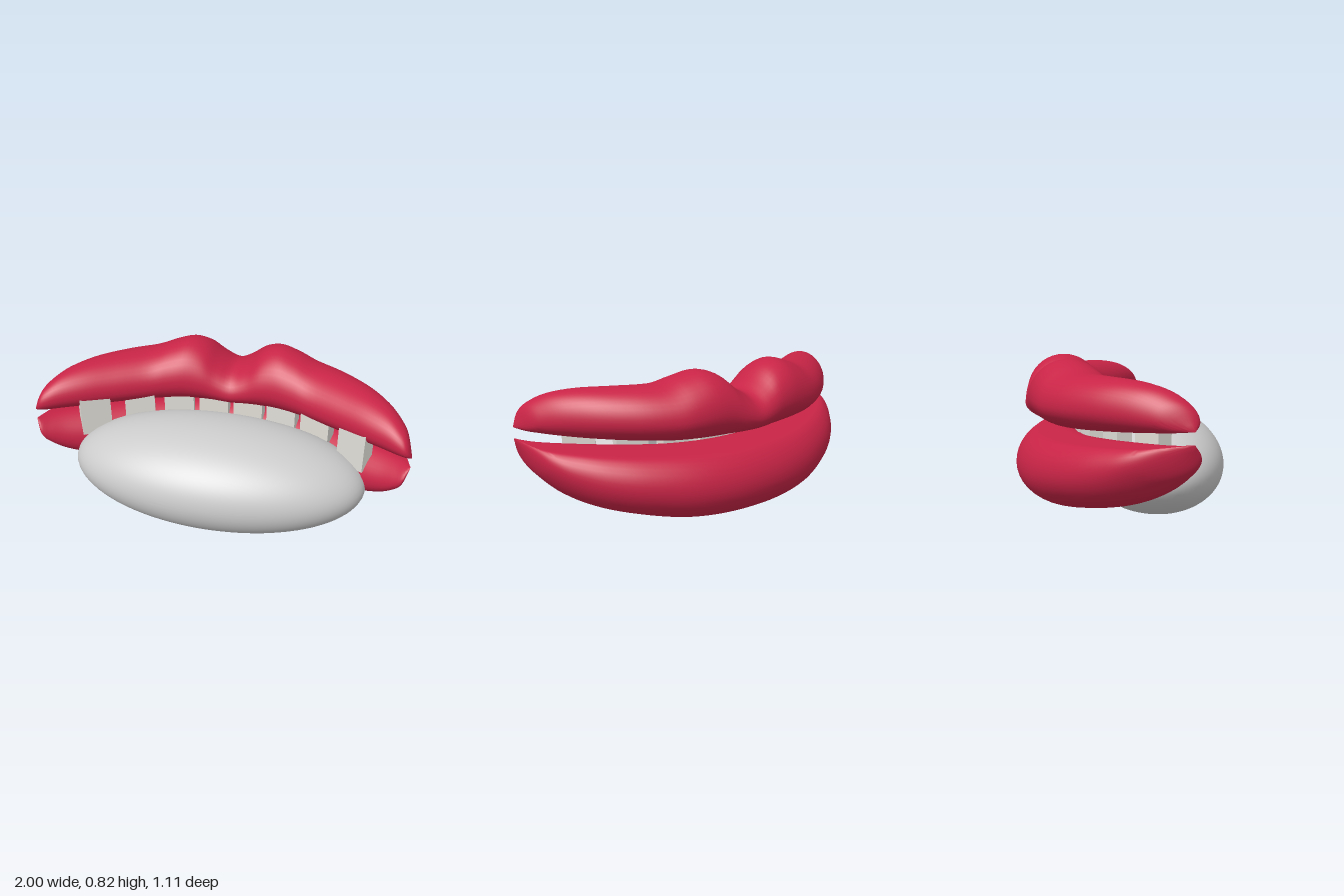
import * as THREE from 'three';
import { toCreasedNormals } from 'three/addons/utils/BufferGeometryUtils.js';

const SLICES = 96, SIDES = 40;

// Lip: oval sections along x, cut flat by the slanted plane of the mouth gap.
// rows: [x, outer z, inner z, crest y]; dir: 1 upper lip, -1 lower lip
function lipGeometry(rows, dir, gapY, centreShare, nearShare) {
  const all = [
    ...rows.slice(1).reverse().map(([x, a, b, y]) => [-x, a, b, y]),
    ...rows,
  ];
  const spline = (pts) => new THREE.CatmullRomCurve3(pts, false, 'catmullrom', 0.5);
  const plan = spline(all.map(([x, a, b]) => new THREE.Vector3(x, a, b)));
  const crest = spline(all.map((r) => new THREE.Vector3(r[3], 0, 0)));
  const gap = (z) => gapY + 0.116 * z;

  const pos = [], index = [];
  for (let i = 0; i <= SLICES; i++) {
    const t = i / SLICES;
    const { x, y: zo, z: zi } = plan.getPoint(t);
    const zc = (zo + zi) / 2, d = (zi - zo) / 2;
    const h = Math.abs(crest.getPoint(t).x - gap(zc));
    const cy = gap(zc) + dir * h * centreShare;
    const far = h * (1 - centreShare), near = h * nearShare;
    for (let j = 0; j < SIDES; j++) {
      const a = (j / SIDES) * Math.PI * 2, s = Math.sin(a);
      const z = zc + d * Math.cos(a);
      let y = cy + s * (s * dir > 0 ? far : near);
      y = dir > 0 ? Math.max(y, gap(z)) : Math.min(y, gap(z));
      pos.push(x, y, z);
      if (i < SLICES) {
        const k = (j + 1) % SIDES, p = i * SIDES, q = p + SIDES;
        index.push(p + j, q + j, p + k, q + j, q + k, p + k);
      }
    }
  }
  // end caps
  for (let j = 1; j < SIDES - 1; j++) {
    const e = SLICES * SIDES;
    index.push(0, j, j + 1, e, e + j + 1, e + j);
  }
  const geo = new THREE.BufferGeometry();
  geo.setAttribute('position', new THREE.Float32BufferAttribute(pos, 3));
  geo.setIndex(index);
  return toCreasedNormals(geo, 0.6);
}

// Ellipsoid with its rear sliced flat
function tongueGeometry() {
  const geo = new THREE.SphereGeometry(1, 64, 48);
  geo.rotateX(Math.PI / 2);
  geo.scale(0.795, 0.28, 0.39);
  geo.translate(0, 0.28, 0.16);
  const p = geo.attributes.position;
  for (let i = 0; i < p.count; i++) p.setZ(i, Math.max(p.getZ(i), -0.03));
  return toCreasedNormals(geo, 0.6);
}

export function createModel() {
  const group = new THREE.Group();
  const red = new THREE.MeshStandardMaterial({ color: 0xc82446 });
  const ivory = new THREE.MeshStandardMaterial({ color: 0xe2dfd8 });
  const grey = new THREE.MeshStandardMaterial({ color: 0xcccccc });
  const add = (name, geo, mat) => {
    const mesh = new THREE.Mesh(geo, mat);
    mesh.name = name;
    group.add(mesh);
    return mesh;
  };

  // Upper lip with a dip in the middle
  add('upperLip', lipGeometry([
    [0, -0.5, -0.107, 0.69],
    [0.08, -0.498, -0.105, 0.73],
    [0.16, -0.49, -0.095, 0.795],
    [0.25, -0.48, -0.08, 0.82],
    [0.35, -0.46, -0.055, 0.797],
    [0.45, -0.425, -0.015, 0.766],
    [0.6, -0.34, 0.065, 0.76],
    [0.75, -0.215, 0.15, 0.753],
    [0.86, -0.09, 0.205, 0.73],
    [0.93, 0.01, 0.235, 0.69],
    [0.97, 0.085, 0.24, 0.645],
    [1, 0.2, 0.215, 0.56],
  ], 1, 0.526, 0.4, 0.44), red);

  // Lower lip
  add('lowerLip', lipGeometry([
    [0, -0.555, -0.107, 0.07],
    [0.2, -0.54, -0.09, 0.073],
    [0.4, -0.49, -0.035, 0.09],
    [0.6, -0.395, 0.065, 0.13],
    [0.75, -0.29, 0.15, 0.175],
    [0.86, -0.18, 0.205, 0.235],
    [0.93, -0.085, 0.24, 0.305],
    [0.97, 0.02, 0.25, 0.37],
    [1, 0.2, 0.215, 0.485],
  ], -1, 0.47, 0.5, 0.55), red);

  // Teeth along the arch: [x, y, z, turn]
  const tooth = new THREE.BoxGeometry(0.165, 0.23, 0.08);
  const arch = [
    [0.1, 0.445, -0.195, 0.06],
    [0.297, 0.46, -0.16, 0.18],
    [0.5, 0.475, -0.06, 0.32],
    [0.715, 0.495, 0.08, 0.54],
  ];
  for (const side of [1, -1]) {
    arch.forEach(([x, y, z, turn], i) => {
      const mesh = add(`${side > 0 ? 'left' : 'right'}Tooth${i + 1}`, tooth, ivory);
      mesh.position.set(side * x, y, z);
      mesh.rotation.y = -side * turn;
    });
  }

  add('tongue', tongueGeometry(), grey);
  return group;
}
